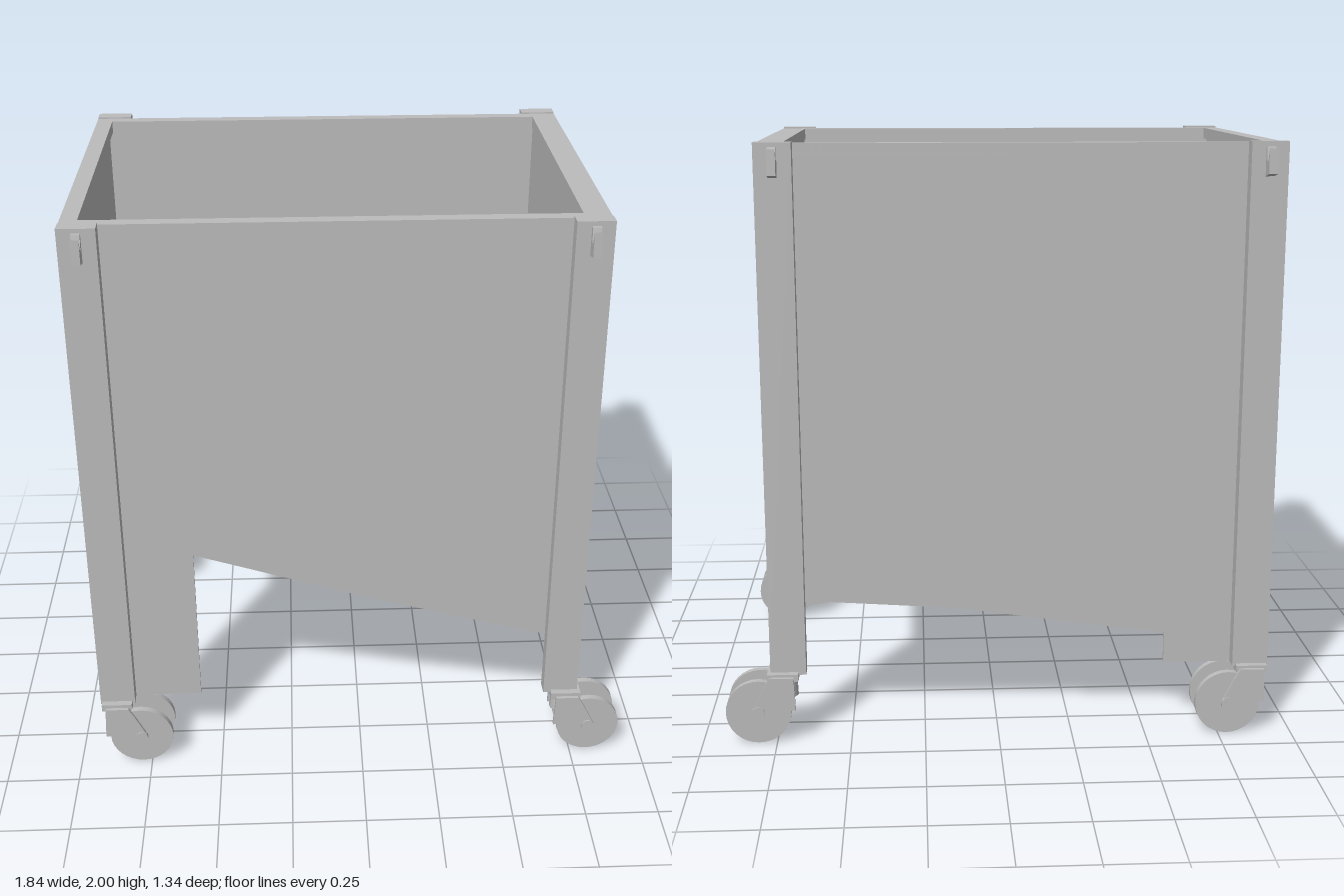
import * as THREE from 'three';

const grey = new THREE.MeshStandardMaterial({ color: 0xbcbcbc });
grey.name = 'grey metal';

function add(parent, name, geometry, x = 0, y = 0, z = 0) {
  const mesh = new THREE.Mesh(geometry, grey);
  mesh.name = name;
  mesh.position.set(x, y, z);
  parent.add(mesh);
  return mesh;
}

// Box given by its minimum and maximum corners
function span(parent, name, x0, x1, y0, y1, z0, z1) {
  return add(parent, name, new THREE.BoxGeometry(x1 - x0, y1 - y0, z1 - z0),
    (x0 + x1) / 2, (y0 + y1) / 2, (z0 + z1) / 2);
}

function outline(points) {
  return new THREE.Shape(points.map(([x, y]) => new THREE.Vector2(x, y)));
}

function extrude(shape, depth) {
  return new THREE.ExtrudeGeometry(shape, { depth, bevelEnabled: false, curveSegments: 12 });
}

// Swivel caster: forked bracket trailing two thin wheels, origin on the floor under the post centre
function makeCaster() {
  const caster = new THREE.Group();
  caster.name = 'caster';
  span(caster, 'casterPlate', -0.055, 0.05, 0.215, 0.24, -0.05, 0.05);
  add(caster, 'casterStem', new THREE.CylinderGeometry(0.03, 0.035, 0.08, 16), -0.015, 0.19, 0);
  const fork = outline([[-0.04, 0.235], [0.04, 0.235], [0.06, 0.2], [0.095, 0.13], [0.07, 0.105],
    [0.03, 0.14], [-0.015, 0.12], [-0.045, 0.12]]);
  for (const s of [-1, 1]) {
    add(caster, 'casterFork', extrude(fork, 0.012), 0, 0, s * 0.065 - 0.006);
    const wheel = add(caster, 'wheel', new THREE.CylinderGeometry(0.11, 0.11, 0.022, 32), 0.08, 0.113, s * 0.05);
    wheel.rotation.x = Math.PI / 2;
  }
  const axle = add(caster, 'axle', new THREE.CylinderGeometry(0.022, 0.022, 0.15, 16), 0.08, 0.113, 0);
  axle.rotation.x = Math.PI / 2;
  return caster;
}

export function createModel() {
  const model = new THREE.Group();
  model.name = 'rollingCart';

  // Long side panels, each with its own sloped lower cut-out
  const frontPanel = outline([[-0.92, 0.23], [-0.57, 0.23], [-0.57, 0.81], [0, 0.63], [0.57, 0.47],
    [0.65, 0.45], [0.77, 0.45], [0.77, 1.995], [-0.92, 1.995]]);
  const backPanel = outline([[-0.92, 0.23], [-0.57, 0.23], [-0.57, 0.34], [-0.3, 0.375], [0.13, 0.44],
    [0.57, 0.47], [0.65, 0.455], [0.77, 0.45], [0.77, 1.995], [-0.92, 1.995]]);
  add(model, 'frontPanel', extrude(frontPanel, 0.012), 0, 0, 0.56);
  add(model, 'backPanel', extrude(backPanel, 0.012), 0, 0, -0.572);

  // End panels and the round handle rail under the short one
  span(model, 'tallEndPanel', 0.755, 0.769, 1.12, 1.995, -0.565, 0.565);
  span(model, 'shortEndPanel', -0.919, -0.905, 1.47, 1.995, -0.565, 0.565);
  const rail = add(model, 'handleRail', new THREE.CylinderGeometry(0.06, 0.06, 1.13, 24), -0.855, 1.405, 0);
  rail.rotation.x = Math.PI / 2;

  // Top rim
  const rim = outline([[-0.92, -0.572], [0.77, -0.572], [0.77, 0.572], [-0.92, 0.572]]);
  rim.holes.push(new THREE.Path([[-0.865, -0.53], [-0.865, 0.53], [0.685, 0.53], [0.685, -0.53]]
    .map(([x, y]) => new THREE.Vector2(x, y))));
  const rimMesh = add(model, 'topRim', extrude(rim, 0.04), 0, 1.955, 0);
  rimMesh.rotation.x = -Math.PI / 2;

  // Tray liner and floor
  span(model, 'trayFloor', -0.905, 0.755, 1.47, 1.49, -0.56, 0.56);
  span(model, 'trayLinerEnd', 0.688, 0.7, 1.485, 1.96, -0.545, 0.545);
  span(model, 'trayLinerEnd', -0.89, -0.878, 1.485, 1.96, -0.545, 0.545);
  for (const s of [-1, 1]) {
    add(model, 'trayLinerSide', new THREE.BoxGeometry(1.57, 0.475, 0.012), -0.095, 1.7225, s * 0.538);
  }

  // Corner posts with hooks and casters
  const hook = outline([[0, 1.985], [0.012, 1.985], [0.02, 1.94], [0.03, 1.94], [0.045, 1.98],
    [0.047, 1.9], [0, 1.89]]);
  for (const x of [-0.86, 0.71]) {
    for (const s of [-1, 1]) {
      const corner = new THREE.Group();
      corner.name = 'corner';
      corner.position.x = x;
      model.add(corner);
      add(corner, 'post', new THREE.BoxGeometry(0.12, 1.77, 0.05), 0, 1.115, s * 0.595);
      const hookMesh = add(corner, 'hook', extrude(hook, 0.028), s * -0.014, 0, s * 0.62);
      hookMesh.rotation.y = s > 0 ? -Math.PI / 2 : Math.PI / 2;
      hookMesh.position.x = s > 0 ? 0.014 : -0.014;
      const caster = makeCaster();
      caster.position.set(x > 0 ? 0.02 : 0, 0, s * 0.593);
      corner.add(caster);
    }
  }
  return model;
}
